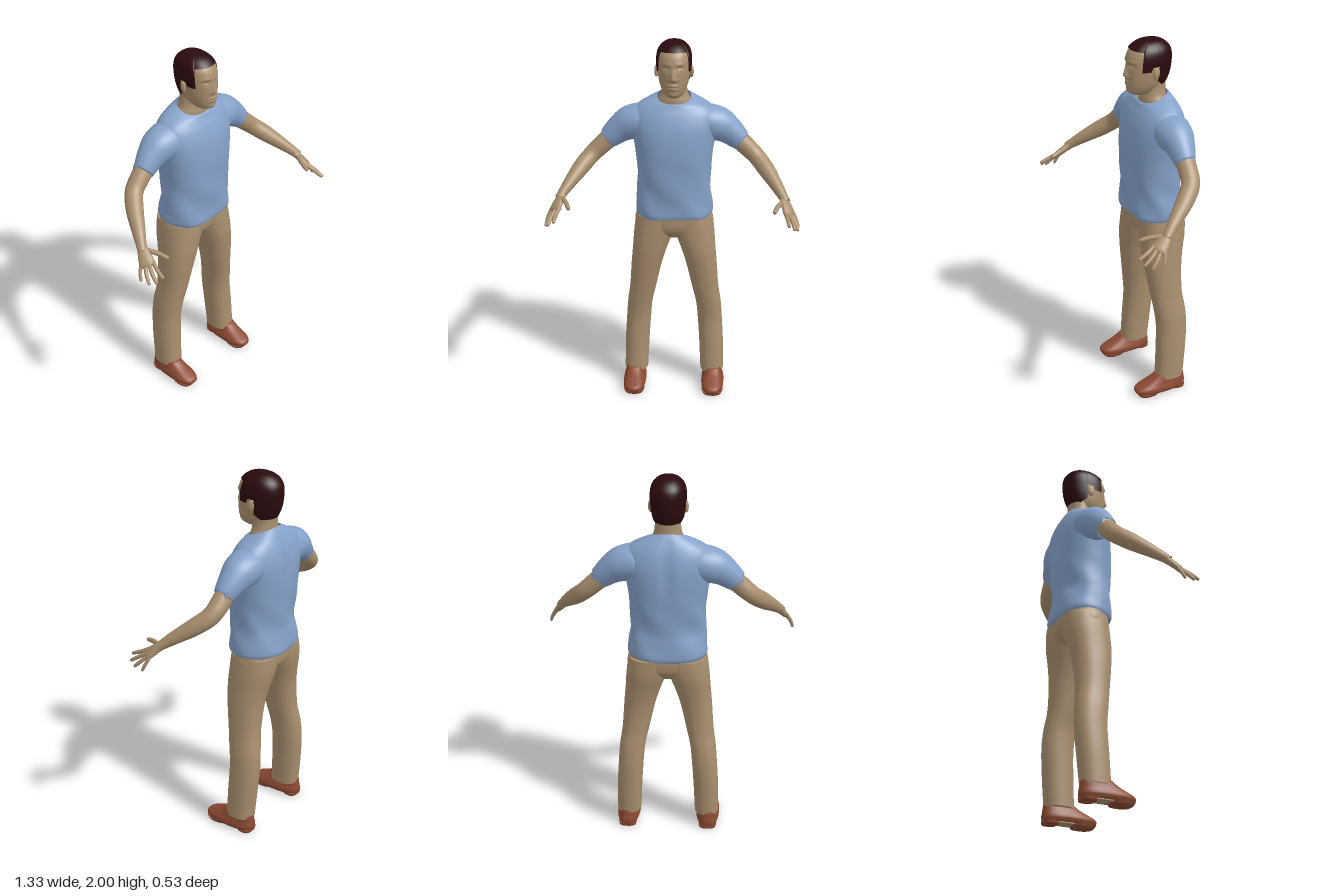
import * as THREE from 'three';

const V = (x, y, z) => new THREE.Vector3(x, y, z);
const bump = (d, w) => Math.exp(-(d / w) * (d / w));
const pow = (v, n) => Math.sign(v) * Math.pow(Math.abs(v), 2 / n);

// Smooth interpolation of key rows over their first column
function sample(keys, u) {
  let i = 0;
  while (i < keys.length - 2 && u > keys[i + 1][0]) i++;
  const a = keys[i], b = keys[i + 1], p = keys[i - 1] || a, q = keys[i + 2] || b;
  const h = b[0] - a[0], t = Math.min(1, Math.max(0, (u - a[0]) / h)), s = 1 - t;
  return a.map((_, k) => {
    const m0 = (b[k] - p[k]) / (b[0] - p[0]) * h, m1 = (q[k] - a[k]) / (q[0] - a[0]) * h;
    return (1 + 2 * t) * s * s * a[k] + t * s * s * m0 + t * t * (3 - 2 * t) * b[k] - t * t * s * m1;
  });
}

// Skin over closed rings, with optional flat caps
function loft(rings, capStart = true, capEnd = true) {
  const n = rings[0].length, pts = rings.flat(), index = [];
  for (let i = 0; i < rings.length - 1; i++) {
    for (let j = 0; j < n; j++) {
      const k = (j + 1) % n, a = i * n + j, b = i * n + k;
      index.push(a, b, b + n, a, b + n, a + n);
    }
  }
  const cap = (ring, flip) => {
    const base = pts.length;
    const mid = ring.reduce((s, p) => s.add(p), V(0, 0, 0)).divideScalar(n);
    pts.push(...ring, mid);
    for (let j = 0; j < n; j++) {
      const k = (j + 1) % n;
      index.push(base + n, base + (flip ? k : j), base + (flip ? j : k));
    }
  };
  if (capStart) cap(rings[0], true);
  if (capEnd) cap(rings[rings.length - 1], false);
  const g = new THREE.BufferGeometry().setFromPoints(pts);
  g.setIndex(index);
  g.computeVertexNormals();
  return g;
}

// One horizontal ring from a row [y, x0, x1, z0, z1, tilt]
function ringPoint(row, t, n) {
  const [y, x0, x1, z0, z1, tilt = 0] = row, c = pow(Math.cos(t), n), s = pow(Math.sin(t), n);
  return V((x0 + x1) / 2 + s * (x1 - x0) / 2, y - tilt * c, (z0 + z1) / 2 + c * (z1 - z0) / 2);
}

// Upright body made of horizontal rings
function stack(keys, { n = 2.3, seg = 40, steps = 24, top = true, bottom = true, warp = null } = {}) {
  const y0 = keys[0][0], y1 = keys[keys.length - 1][0], rings = [];
  for (let i = 0; i <= steps; i++) {
    const row = sample(keys, y0 + (y1 - y0) * i / steps);
    rings.push(Array.from({ length: seg }, (_, j) => {
      const t = j / seg * Math.PI * 2, p = ringPoint(row, t, n);
      if (warp) warp(p, t);
      return p;
    }));
  }
  return loft(rings, bottom, top);
}

// Limb along [x, y, z, r1, r2] points; r1 lies along the ref direction
function limb(points, ref, seg = 20, steps = 24) {
  const keys = points.map((p, i) => [i, ...p]), end = points.length - 1, rings = [];
  const pos = u => V(...sample(keys, u).slice(1, 4));
  for (let i = 0; i <= steps; i++) {
    const u = end * i / steps, k = sample(keys, u), c = pos(u);
    const T = pos(Math.min(end, u + 0.05)).sub(pos(Math.max(0, u - 0.05))).normalize();
    const A = ref.clone().addScaledVector(T, -ref.dot(T)).normalize(), B = T.clone().cross(A);
    rings.push(Array.from({ length: seg }, (_, j) => {
      const t = j / seg * Math.PI * 2;
      return c.clone().addScaledVector(A, Math.cos(t) * k[4]).addScaledVector(B, Math.sin(t) * k[5]);
    }));
  }
  return loft(rings);
}

function mirrored(geometry) {
  const g = geometry.clone().scale(-1, 1, 1), ix = g.index.array;
  for (let i = 0; i < ix.length; i += 3) [ix[i], ix[i + 1]] = [ix[i + 1], ix[i]];
  g.computeVertexNormals();
  return g;
}

// Head profile: [y, x0, x1, z0, z1]
const HEAD = [
  [1.715, 0.03, -0.09, -0.005], [1.73, 0.048, -0.12, 0.018], [1.76, 0.066, -0.165, 0.028],
  [1.79, 0.076, -0.185, 0.03], [1.83, 0.083, -0.2, 0.031], [1.88, 0.087, -0.207, 0.03],
  [1.92, 0.086, -0.207, 0.024], [1.95, 0.078, -0.197, 0.008], [1.975, 0.058, -0.172, -0.02],
  [1.988, 0.036, -0.145, -0.05], [1.994, 0.008, -0.11, -0.085],
].map(([y, w, b, f]) => [y, -w, w, b, f]);

// Nose, sockets, eyes, lips and chin pressed into the front of the head
function face(p) {
  if (p.z < -0.04) return;
  const { x, y } = p, ax = Math.abs(x);
  const bridge = y > 1.825 ? bump(y - 1.825, 0.04) : bump(y - 1.825, 0.012);
  p.z += 0.02 * bump(x, 0.012 + 0.006 * bump(y - 1.82, 0.015)) * bridge;
  p.z -= 0.011 * bump(ax - 0.035, 0.018) * bump(y - 1.877, 0.013);
  p.z += 0.006 * bump(ax - 0.035, 0.012) * bump(y - 1.873, 0.007);
  p.z += 0.004 * bump(ax - 0.035, 0.025) * bump(y - 1.9, 0.01);
  p.z += bump(x, 0.024) * (0.007 * bump(y - 1.79, 0.007) + 0.006 * bump(y - 1.772, 0.007));
  p.z += 0.006 * bump(x, 0.025) * bump(y - 1.738, 0.013);
}

// Short hair: a shell from the hairline to the crown
function hairGeometry() {
  const seg = 128, steps = 24, rings = [], centre = V(0, 1.88, -0.09);
  const line = t => {
    const z = ringPoint(sample(HEAD, 1.88), t, 2.2).z;
    if (z > -0.022) return 1.945 + 0.008 * Math.max(0, Math.cos(t));
    if (z > -0.07) return 1.853;
    if (z > -0.115) return 1.875;
    return 1.80 - 0.03 * Math.min(1, (-0.115 - z) / 0.05);
  };
  for (let i = 0; i <= steps; i++) {
    rings.push(Array.from({ length: seg }, (_, j) => {
      const t = j / seg * Math.PI * 2, v = 1 - i / steps;
      const y = 1.994 - (1.994 - line(t)) * Math.pow(v, 1.7);
      return ringPoint(sample(HEAD, y), t, 2.2).sub(centre).multiplyScalar(1.06).add(centre);
    }));
  }
  return loft(rings, false, true);
}

export function createModel() {
  const model = new THREE.Group();
  model.name = 'standingMan';
  const mat = (name, color) => Object.assign(new THREE.MeshStandardMaterial({ color }), { name });
  const skin = mat('skin', 0xa98f6f), trousers = mat('tan trousers', 0xa98f6f);
  const shirt = mat('blue shirt', 0x86a1c9), hair = mat('dark hair', 0x2b0b0d);
  const leather = mat('brown leather', 0x8c4a33);
  shirt.side = hair.side = THREE.DoubleSide;

  const add = (name, geometry, material) => {
    const mesh = new THREE.Mesh(geometry, material);
    mesh.name = name;
    model.add(mesh);
  };
  const pair = (name, geometry, material) => {
    add(name + 'Left', geometry, material);
    add(name + 'Right', mirrored(geometry), material);
  };

  // Head, ears, neck and hair
  add('head', stack(HEAD, { n: 2.2, seg: 128, steps: 90, warp: face }), skin);
  add('hair', hairGeometry(), hair);
  pair('ear', new THREE.SphereGeometry(1, 16, 12).scale(0.011, 0.034, 0.02)
    .rotateX(-0.15).rotateY(0.3).translate(0.09, 1.84, -0.093), skin);
  add('neck', stack([
    [1.63, -0.1, 0.1, -0.2, -0.05], [1.68, -0.088, 0.088, -0.188, -0.05],
    [1.71, -0.073, 0.073, -0.183, -0.055], [1.75, -0.066, 0.066, -0.182, -0.058],
    [1.8, -0.066, 0.066, -0.185, -0.06],
  ], { n: 2 }), skin);

  // T-shirt body with soft folds, then sleeves
  const folds = (p, t) => {
    const low = Math.min(1, Math.max(0, (1.42 - p.y) / 0.2));
    p.z += 0.004 * low * Math.sin(5 * t + p.y * 22);
    p.x += 0.003 * low * Math.sin(4 * t + p.y * 30);
    p.y += 0.004 * low * Math.sin(3 * t + 1);
    if (p.z < -0.2) p.z += 0.012 * bump(p.x, 0.025) * bump(p.y - 1.52, 0.13);
  };
  add('shirtBody', stack([
    [1.045, -0.2, 0.2, -0.258, 0.03, 0], [1.06, -0.208, 0.208, -0.265, 0.035, 0],
    [1.13, -0.204, 0.204, -0.257, 0.033, 0], [1.2, -0.197, 0.197, -0.247, 0.034, 0],
    [1.3, -0.197, 0.197, -0.255, 0.037, 0], [1.4, -0.206, 0.206, -0.262, 0.038, 0],
    [1.48, -0.218, 0.218, -0.264, 0.032, 0], [1.55, -0.228, 0.228, -0.26, 0.018, 0],
    [1.61, -0.22, 0.22, -0.247, -0.005, 0], [1.65, -0.19, 0.19, -0.23, -0.025, 0.005],
    [1.675, -0.145, 0.145, -0.212, -0.034, 0.013], [1.693, -0.1, 0.1, -0.193, -0.037, 0.024],
    [1.697, -0.088, 0.088, -0.186, -0.044, 0.026],
  ], { seg: 72, steps: 64, top: false, warp: folds }), shirt);
  const across = V(0.7, 0.7, 0);
  pair('sleeve', limb([
    [0.1, 1.56, -0.13, 0.085, 0.09], [0.17, 1.557, -0.13, 0.093, 0.1], [0.235, 1.54, -0.13, 0.092, 0.092],
    [0.29, 1.508, -0.127, 0.076, 0.074], [0.343, 1.463, -0.121, 0.06, 0.057], [0.347, 1.459, -0.121, 0.056, 0.053],
  ], across, 32, 36), shirt);

  // Arms
  pair('arm', limb([
    [0.3, 1.5, -0.125, 0.05, 0.05], [0.37, 1.435, -0.12, 0.05, 0.05], [0.435, 1.375, -0.105, 0.046, 0.048],
    [0.49, 1.32, -0.045, 0.044, 0.045], [0.54, 1.265, 0.03, 0.034, 0.036], [0.58, 1.217, 0.092, 0.025, 0.026],
    [0.592, 1.2, 0.11, 0.024, 0.024],
  ], across, 28, 40), skin);

  // Hands: flat palm, four fingers and a thumb
  const spread = V(-0.047, 0.02, 0.04);
  pair('palm', limb([
    [0.573, 1.226, 0.08, 0.022, 0.02], [0.588, 1.198, 0.113, 0.03, 0.019], [0.601, 1.173, 0.142, 0.038, 0.018],
    [0.611, 1.155, 0.163, 0.038, 0.015], [0.615, 1.147, 0.172, 0.028, 0.007],
  ], spread), skin);
  const finger = (name, a, m, b, r) => pair(name, limb([
    [...a, r, r], [...m, r, r], [...b.map((v, i) => v * 0.9 + m[i] * 0.1), r * 0.8, r * 0.8], [...b, r * 0.2, r * 0.2],
  ], spread, 12, 15), skin);
  finger('indexFinger', [0.583, 1.172, 0.172], [0.598, 1.148, 0.218], [0.606, 1.125, 0.27], 0.0105);
  finger('middleFinger', [0.601, 1.163, 0.163], [0.624, 1.132, 0.21], [0.637, 1.102, 0.256], 0.0105);
  finger('ringFinger', [0.615, 1.155, 0.152], [0.64, 1.118, 0.187], [0.654, 1.085, 0.22], 0.01);
  finger('littleFinger', [0.628, 1.155, 0.136], [0.648, 1.115, 0.15], [0.659, 1.08, 0.165], 0.009);
  finger('thumb', [0.575, 1.205, 0.12], [0.548, 1.198, 0.175], [0.529, 1.185, 0.23], 0.0125);

  // Trousers: hips and legs
  add('hips', stack([
    [0.91, -0.1, 0.1, -0.17, -0.06], [0.94, -0.17, 0.17, -0.212, -0.022],
    [0.98, -0.211, 0.211, -0.243, -0.003], [1.06, -0.203, 0.203, -0.25, 0],
  ]), trousers);
  pair('leg', stack([
    [0.085, 0.15, 0.28, -0.2, -0.042], [0.25, 0.142, 0.277, -0.215, -0.05], [0.4, 0.132, 0.268, -0.225, -0.055],
    [0.5, 0.122, 0.26, -0.22, -0.045], [0.6, 0.1, 0.246, -0.207, -0.03], [0.75, 0.066, 0.235, -0.21, -0.01],
    [0.85, 0.035, 0.226, -0.225, 0], [0.93, 0.004, 0.22, -0.243, 0], [1, -0.02, 0.212, -0.25, -0.002],
    [1.04, -0.02, 0.205, -0.25, -0.005],
  ], { steps: 40 }), trousers);

  // Shoes: upper, front sole, heel and bare arch
  pair('shoeUpper', stack([
    [0.014, 0.164, 0.278, -0.205, 0.084], [0.03, 0.158, 0.284, -0.21, 0.091], [0.046, 0.16, 0.282, -0.21, 0.084],
    [0.062, 0.166, 0.277, -0.207, 0.05], [0.085, 0.174, 0.272, -0.204, 0], [0.108, 0.18, 0.268, -0.198, -0.035],
  ], { n: 2.6 }), leather);
  pair('shoeSole', stack([
    [0, 0.168, 0.274, -0.045, 0.075], [0.016, 0.162, 0.28, -0.05, 0.086],
  ], { n: 2.6, steps: 2 }), leather);
  pair('shoeHeel', stack([
    [0, 0.176, 0.268, -0.205, -0.125], [0.016, 0.172, 0.272, -0.208, -0.122],
  ], { n: 2.8, steps: 2 }), leather);
  pair('shoeArch', new THREE.BoxGeometry(0.075, 0.008, 0.09).translate(0.221, 0.0125, -0.085), skin);

  return model;
}
